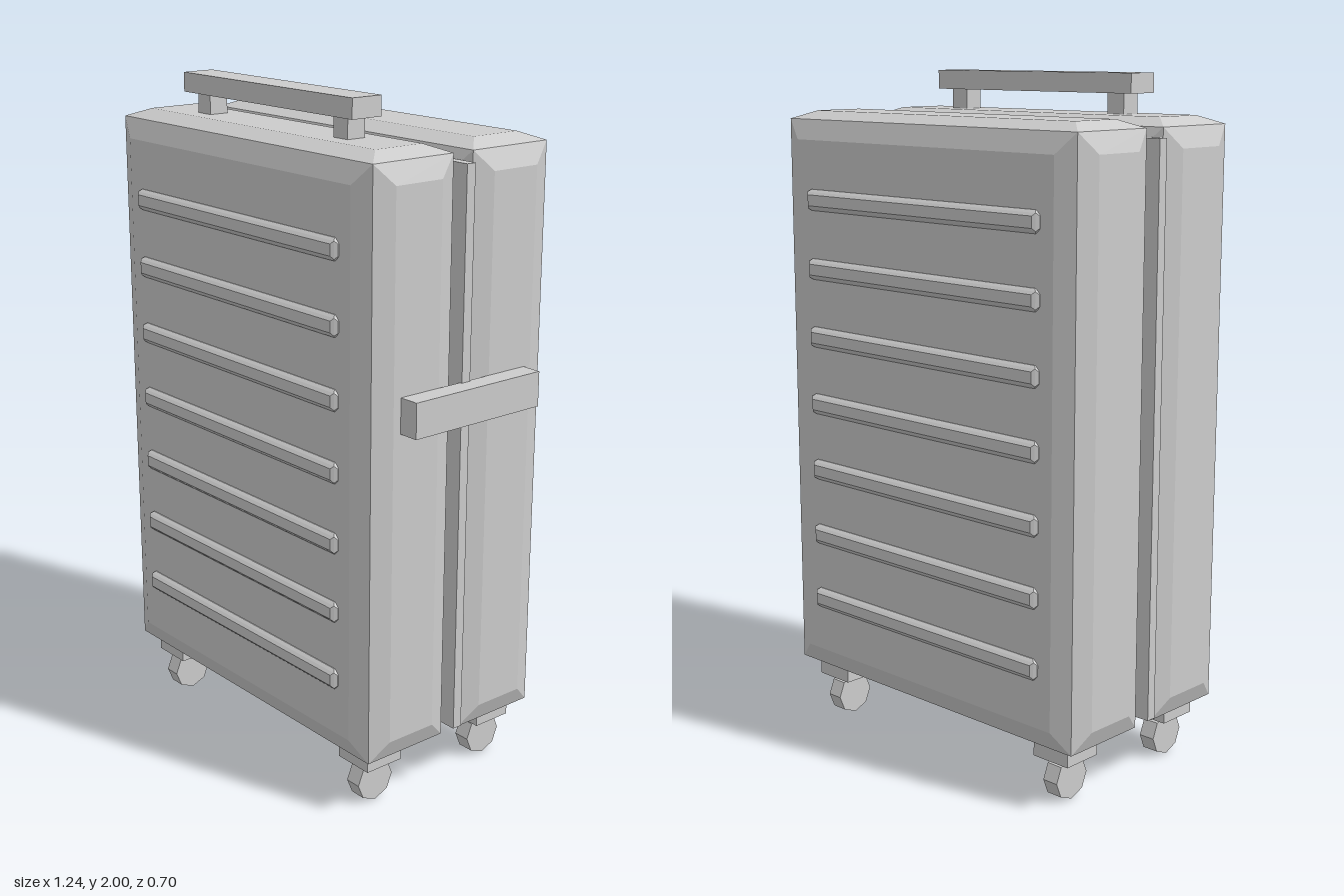
import * as THREE from 'three';

const CX = -0.029; // centre line of the case body
const grey = new THREE.MeshStandardMaterial({ color: 0xcccccc });
grey.name = 'light grey';

// Box whose six faces each bulge outward as a shallow frustum.
// half: half size at the corners, bulge: rise of each face, inset: frustum margin
function pillowBox(half, bulge, inset) {
  const ring = [[-1, -1], [1, -1], [1, 1], [-1, 1]];
  const out = [];
  const quad = (a, b, c, d) => [a, b, c, a, c, d].forEach((p) => out.push(...p));
  for (let axis = 0; axis < 3; axis++) {
    const u = (axis + 1) % 3;
    const v = (axis + 2) % 3;
    for (const s of [-1, 1]) {
      const order = s > 0 ? ring : [...ring].reverse();
      const corners = (rise, margin) => order.map(([a, b]) => {
        const p = [0, 0, 0];
        p[axis] = s * (half[axis] + rise);
        p[u] = a * (half[u] - margin);
        p[v] = b * (half[v] - margin);
        return p;
      });
      const outer = corners(0, 0);
      const inner = corners(bulge, inset);
      quad(...inner);
      for (let i = 0; i < 4; i++) {
        const j = (i + 1) % 4;
        quad(outer[i], outer[j], inner[j], inner[i]);
      }
    }
  }
  const geo = new THREE.BufferGeometry();
  geo.setAttribute('position', new THREE.Float32BufferAttribute(out, 3));
  geo.computeVertexNormals();
  return geo;
}

function add(parent, name, geometry, x, y, z) {
  const mesh = new THREE.Mesh(geometry, grey);
  mesh.name = name;
  mesh.position.set(x, y, z);
  parent.add(mesh);
  return mesh;
}

export function createModel() {
  const suitcase = new THREE.Group();
  suitcase.name = 'suitcase';

  // Two shell halves with seven raised ribs each
  const shellGeo = pillowBox([0.562, 0.84, 0.138], 0.0235, 0.058);
  const ribGeo = pillowBox([0.452, 0.024, 0.012], 0.007, 0.008);
  for (const s of [1, -1]) {
    const side = s > 0 ? 'front' : 'back';
    add(suitcase, side + 'Shell', shellGeo, CX, 1.0225, s * 0.173);
    const ribs = new THREE.Group();
    ribs.name = side + 'Ribs';
    for (let i = 0; i < 7; i++) add(ribs, 'rib', ribGeo, CX, 0.409 + i * 0.2037, s * 0.333);
    suitcase.add(ribs);
  }

  // Seam strip between the halves
  add(suitcase, 'seamStrip', new THREE.BoxGeometry(1.184, 1.632, 0.03), -0.028, 1.02, 0);

  // Top handle: grip on two posts
  const handle = new THREE.Group();
  handle.name = 'topHandle';
  add(handle, 'grip', new THREE.BoxGeometry(0.756, 0.056, 0.1), CX, 1.972, 0.173);
  for (const s of [-1, 1]) {
    add(handle, 'post', new THREE.BoxGeometry(0.059, 0.064, 0.06), CX + s * 0.307, 1.915, 0.173);
  }
  suitcase.add(handle);

  // Side carry handle
  add(suitcase, 'sideHandle', new THREE.BoxGeometry(0.061, 0.101, 0.456), 0.587, 1.194, 0);

  // Four casters: mounting plate and eight-sided wheel
  const plateGeo = new THREE.BoxGeometry(0.126, 0.042, 0.125);
  const wheelGeo = new THREE.CylinderGeometry(0.0635, 0.0635, 0.05, 8).toNonIndexed();
  wheelGeo.rotateZ(Math.PI / 2);
  wheelGeo.computeVertexNormals();
  for (const sx of [-1, 1]) {
    for (const sz of [-1, 1]) {
      const caster = new THREE.Group();
      caster.name = (sz > 0 ? 'front' : 'back') + (sx > 0 ? 'Left' : 'Right') + 'Caster';
      caster.position.set(CX + sx * 0.457, 0, sz * 0.215);
      add(caster, 'plate', plateGeo, 0, 0.145, 0);
      add(caster, 'wheel', wheelGeo, 0, 0.0635, 0);
      suitcase.add(caster);
    }
  }
  return suitcase;
}
